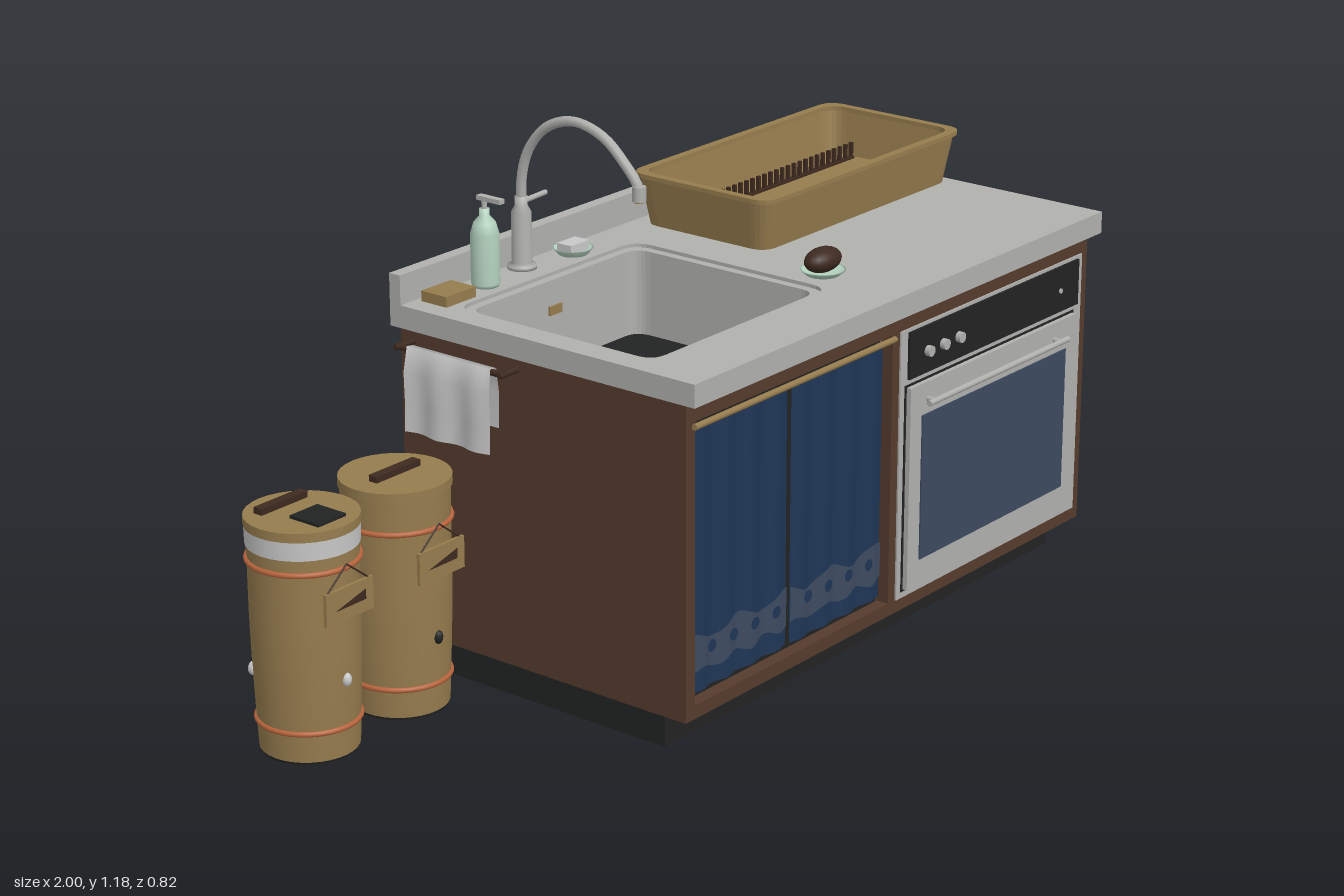
import * as THREE from 'three';

const paint = (name, color) => {
  const m = new THREE.MeshStandardMaterial({ color });
  m.name = name;
  return m;
};

export function createModel() {
  const steel = paint('steel grey', 0xb0b0ad);
  const wood = paint('walnut brown', 0x553b2d);
  const black = paint('black', 0x222323);
  const blue = paint('curtain blue', 0x1f3656);
  const slate = paint('slate glass', 0x3d4a60);
  const brass = paint('tan', 0x967c4e);
  const orange = paint('copper orange', 0xb8643c);
  const mint = paint('mint', 0xb4d2bf);
  const white = paint('towel white', 0xc8c8c8);
  const dark = paint('dark brown', 0x3e2a20);
  blue.side = slate.side = white.side = THREE.DoubleSide;

  const root = new THREE.Group();
  root.name = 'kitchenIsland';
  const add = (name, geo, mat, x = 0, y = 0, z = 0, parent = root) => {
    const m = new THREE.Mesh(geo, mat);
    m.name = name;
    m.position.set(x, y, z);
    parent.add(m);
    return m;
  };
  // Box given by its limits
  const box = (name, mat, x0, x1, y0, y1, z0, z1, parent = root) =>
    add(name, new THREE.BoxGeometry(x1 - x0, y1 - y0, z1 - z0), mat, (x0 + x1) / 2, (y0 + y1) / 2, (z0 + z1) / 2, parent);
  // Cylinder between two points
  const rod = (name, mat, a, b, r, parent = root, sides = 10) => {
    const p = new THREE.Vector3(...a), d = new THREE.Vector3(...b).sub(p);
    const m = add(name, new THREE.CylinderGeometry(r, r, d.length(), sides), mat, 0, 0, 0, parent);
    m.position.copy(p).addScaledVector(d, 0.5);
    m.quaternion.setFromUnitVectors(new THREE.Vector3(0, 1, 0), d.normalize());
    return m;
  };
  const lathe = (name, mat, pts, x, y, z, parent = root, sides = 24) =>
    add(name, new THREE.LatheGeometry(pts.map(p => new THREE.Vector2(...p)), sides), mat, x, y, z, parent);
  // Rounded rectangle outline
  const rect = (x0, x1, y0, y1, r = 0, Kind = THREE.Shape) => {
    const s = new Kind();
    if (!r) return s.moveTo(x0, y0).lineTo(x1, y0).lineTo(x1, y1).lineTo(x0, y1).closePath(), s;
    s.moveTo(x0 + r, y0).lineTo(x1 - r, y0).quadraticCurveTo(x1, y0, x1, y0 + r);
    s.lineTo(x1, y1 - r).quadraticCurveTo(x1, y1, x1 - r, y1);
    s.lineTo(x0 + r, y1).quadraticCurveTo(x0, y1, x0, y1 - r);
    s.lineTo(x0, y0 + r).quadraticCurveTo(x0, y0, x0 + r, y0);
    return s;
  };
  const panel = (outer, holes, depth) => {
    outer.holes.push(...holes);
    return new THREE.ExtrudeGeometry(outer, { depth, bevelEnabled: false, curveSegments: 6 });
  };
  // Horizontal slab; outlines use (x, -z)
  const slab = (outer, holes, depth) => panel(outer, holes, depth).rotateX(-Math.PI / 2);

  // Cabinet carcass, hollow around the sink
  box('plinth', black, -0.44, 0.97, 0, 0.08, -0.375, 0.30);
  box('cabinetFloor', wood, -0.46, 0.99, 0.08, 0.1, -0.39, 0.365);
  box('cabinetBack', wood, -0.46, 0.99, 0.08, 0.77, -0.39, -0.36);
  box('leftWall', wood, -0.46, -0.43, 0.08, 0.77, -0.36, 0.34);
  const side = panel(rect(-0.345, 0.365, 0.08, 0.77), [rect(-0.35 + 0.005, 0.04, 0.13, 0.595, 0, THREE.Path)], 0.03);
  side.dispose();
  const sideWall = panel(rect(-0.37, 0.36, 0.08, 0.77), [rect(-0.35, 0.04, 0.13, 0.595, 0, THREE.Path)], 0.03);
  add('sideWallWithOpening', sideWall.rotateY(Math.PI / 2), wood, 0.96);
  add('frontFrame', panel(rect(-0.46, 0.96, 0.08, 0.77),
    [rect(-0.43, 0.24, 0.11, 0.725, 0, THREE.Path), rect(0.27, 0.94, 0.115, 0.715, 0, THREE.Path)], 0.03), wood, 0, 0, 0.34);
  box('cupboardInterior', black, -0.43, 0.24, 0.1, 0.74, 0.32, 0.338);

  // Countertop, splashback and sink
  const sinkOuter = K => rect(-0.41, 0.175, -0.25, 0.28, 0.05, K);
  add('countertop', slab(rect(-0.47, 1, -0.4, 0.41), [sinkOuter(THREE.Path)], 0.05), steel, 0, 0.77);
  box('splashback', steel, -0.47, 1, 0.82, 0.885, -0.41, -0.38);
  add('sinkWalls', slab(sinkOuter(THREE.Shape), [rect(-0.39, 0.155, -0.23, 0.26, 0.04, THREE.Path)], 0.195), steel, 0, 0.617);
  add('sinkFloor', slab(sinkOuter(THREE.Shape), [], 0.01), black, 0, 0.61);
  box('overflow', brass, -0.14, -0.1, 0.735, 0.755, -0.262, -0.255);

  // Curtains with a scalloped border
  const fold = x => 0.004 * Math.sin(x * 75);
  const cloth = (x0, x1, low, high, z) => {
    const g = new THREE.PlaneGeometry(x1 - x0, 1, 48, 1).translate((x0 + x1) / 2, 0.5, 0);
    const p = g.attributes.position;
    for (let i = 0; i < p.count; i++) {
      const x = p.getX(i);
      p.setXYZ(i, x, p.getY(i) > 0.5 ? high(x) : low(x), z + fold(x));
    }
    g.computeVertexNormals();
    return g;
  };
  for (const [x0, x1] of [[-0.42, -0.108], [-0.095, 0.225]]) {
    add('curtain', cloth(x0, x1, () => 0.13, () => 0.712, 0.358), blue);
    add('curtainBorder', cloth(x0, x1, x => 0.175 + 0.007 * Math.sin(x * 60), x => 0.25 + 0.012 * Math.sin(x * 40), 0.361), slate);
    for (let i = 0; i < 4; i++) {
      const x = x0 + 0.05 + i * 0.072;
      add('curtainDot', new THREE.CircleGeometry(0.014, 10), blue, x, 0.222, 0.367);
    }
  }
  rod('curtainRod', brass, [-0.44, 0.717, 0.376], [0.24, 0.717, 0.376], 0.007);

  // Oven
  const oven = new THREE.Group();
  oven.name = 'oven';
  root.add(oven);
  box('ovenBody', steel, 0.275, 0.94, 0.12, 0.71, -0.08, 0.365, oven);
  box('ovenTrim', steel, 0.265, 0.965, 0.11, 0.725, 0.365, 0.374, oven);
  box('controlPanel', black, 0.29, 0.945, 0.612, 0.718, 0.374, 0.38, oven);
  box('doorGap', black, 0.28, 0.935, 0.125, 0.6, 0.374, 0.376, oven);
  box('ovenDoor', steel, 0.286, 0.928, 0.13, 0.595, 0.376, 0.387, oven);
  box('ovenWindow', slate, 0.328, 0.886, 0.19, 0.523, 0.387, 0.39, oven);
  rod('ovenHandle', steel, [0.325, 0.556, 0.408], [0.865, 0.556, 0.408], 0.007, oven);
  for (const x of [0.35, 0.84]) rod('handlePost', steel, [x, 0.556, 0.38], [x, 0.556, 0.408], 0.006, oven);
  for (const x of [0.355, 0.412, 0.47]) rod('knob', steel, [x, 0.662, 0.378], [x, 0.662, 0.392], 0.012, oven, 16);
  rod('indicator', steel, [0.87, 0.662, 0.378], [0.87, 0.662, 0.383], 0.006, oven);

  // Tap with a swan neck
  lathe('tapBody', steel, [[0, 0], [0.032, 0], [0.032, 0.008], [0.022, 0.014], [0.022, 0.125], [0.014, 0.14], [0.014, 0.16], [0, 0.16]], -0.12, 0.82, -0.35);
  const neck = new THREE.CatmullRomCurve3([[0.96, -0.35], [1.03, -0.346], [1.09, -0.325], [1.145, -0.275], [1.17, -0.2],
    [1.15, -0.12], [1.1, -0.06], [1.065, -0.03], [1.045, -0.025]].map(([y, z]) => new THREE.Vector3(-0.12, y, z)));
  add('tapNeck', new THREE.TubeGeometry(neck, 28, 0.011, 8), steel);
  rod('tapNozzle', steel, [-0.12, 1.03, -0.025], [-0.12, 1.062, -0.025], 0.015);
  rod('nozzleOutlet', brass, [-0.12, 1.027, -0.025], [-0.12, 1.031, -0.025], 0.011);
  rod('tapLever', steel, [-0.11, 0.967, -0.35], [-0.04, 0.97, -0.35], 0.006);

  // Soap bottle, sponge, soap dish, scrubbing brush
  lathe('soapBottle', mint, [[0, 0], [0.028, 0], [0.031, 0.008], [0.031, 0.115], [0.024, 0.14], [0.011, 0.155], [0.011, 0.17], [0, 0.17]], -0.26, 0.82, -0.33);
  rod('pumpStem', steel, [-0.26, 0.98, -0.33], [-0.26, 1.015, -0.33], 0.006);
  box('pumpSpout', steel, -0.268, -0.252, 1.008, 1.018, -0.345, -0.28);
  box('sponge', brass, -0.422, -0.33, 0.82, 0.843, -0.365, -0.295);
  const dish = [[0, 0], [0.036, 0], [0.05, 0.012], [0.046, 0.012], [0.034, 0.005], [0, 0.005]];
  lathe('soapDish', mint, dish, 0.025, 0.82, -0.33).scale.set(0.9, 1.2, 0.9);
  box('soapBar', white, -0.005, 0.055, 0.826, 0.847, -0.35, -0.31);
  lathe('brushDish', mint, dish, 0.245, 0.82, 0.18);
  add('scrubBrush', new THREE.SphereGeometry(0.03, 20, 14), dark, 0.245, 0.853, 0.18).scale.set(1.75, 0.9, 1.07);

  // Tapered dish rack
  const rack = new THREE.Group();
  rack.name = 'dishRack';
  rack.position.set(0.613, 0.83, -0.16);
  root.add(rack);
  const flare = g => {
    const p = g.attributes.position;
    for (let i = 0; i < p.count; i++) {
      const k = Math.min(p.getY(i) / 0.11, 1) - 1;
      p.setX(i, p.getX(i) * (1 + 0.05 * k));
      p.setZ(i, p.getZ(i) * (1 + 0.09 * k));
    }
    g.computeVertexNormals();
    return g;
  };
  const tray = (inset, K) => rect(-0.365 + inset, 0.365 - inset, -0.185 + inset, 0.185 - inset, 0.045, K);
  add('rackWalls', flare(slab(tray(0), [tray(0.012, THREE.Path)], 0.112)), brass, 0, 0, 0, rack);
  add('rackRim', slab(tray(-0.006), [tray(0.014, THREE.Path)], 0.01), brass, 0, 0.111, 0, rack);
  add('rackFloor', flare(slab(tray(0.002), [], 0.012)), brass, 0, 0, 0, rack);
  for (const z of [-0.09, 0.078]) {
    box('pegRail', dark, -0.325, 0.325, 0.012, 0.017, z - 0.007, z + 0.007, rack);
    for (let i = 0; i < 30; i++) {
      const x = -0.32 + i * 0.64 / 29;
      box('peg', dark, x - 0.004, x + 0.004, 0.012, 0.05, z - 0.004, z + 0.004, rack);
    }
  }
  for (const x of [-0.3, 0.3]) for (const z of [-0.13, 0.13]) box('rackFoot', brass, x - 0.01, x + 0.01, -0.01, 0, z - 0.01, z + 0.01, rack);

  // Towel on a side rail
  rod('towelRail', dark, [-0.505, 0.745, -0.36], [-0.505, 0.745, -0.065], 0.007);
  for (const z of [-0.355, -0.07]) rod('railBracket', dark, [-0.515, 0.745, z], [-0.455, 0.745, z], 0.007);
  const drape = [[-0.49, 0.62], [-0.488, 0.7], [-0.495, 0.752], [-0.513, 0.754], [-0.522, 0.7], [-0.52, 0.63], [-0.522, 0.57]];
  const towel = new THREE.PlaneGeometry(0.23, 1, 20, drape.length - 1);
  const tp = towel.attributes.position;
  for (let i = 0; i < tp.count; i++) {
    const row = Math.floor(i / 21), z = tp.getX(i);
    tp.setXYZ(i, drape[row][0] + (row > 3 ? 0.005 * Math.sin(z * 60) : 0), drape[row][1], z - 0.21);
  }
  towel.computeVertexNormals();
  add('towel', towel, white);

  // Pair of storage canisters
  const canister = (x, first) => {
    const g = new THREE.Group();
    g.name = first ? 'outerCanister' : 'innerCanister';
    g.position.set(x, 0, -0.28);
    root.add(g);
    lathe('body', brass, [[0.104, 0.006], [0.107, 0.07], [0.112, 0.2], [0.114, 0.3], [0.114, 0.42], [0.116, 0.5]], 0, 0, 0, g, 32);
    add('base', new THREE.CylinderGeometry(0.104, 0.102, 0.008, 32), black, 0, 0.004, 0, g);
    add('lid', new THREE.CylinderGeometry(0.119, 0.119, 0.02, 32), brass, 0, 0.502, 0, g);
    for (const [y, r] of [[0.07, 0.107], [0.42, 0.115]])
      add('hoop', new THREE.TorusGeometry(r, 0.006, 8, 32).rotateX(Math.PI / 2), orange, 0, y, 0, g);
    if (first) {
      add('paleBand', new THREE.CylinderGeometry(0.118, 0.117, 0.04, 32), white, 0, 0.472, 0, g);
      box('lidPatch', black, -0.04, 0.04, 0.512, 0.518, 0.005, 0.085, g);
    }
    const hz = first ? -0.058 : 0;
    box('lidHandle', dark, -0.066, 0.066, 0.512, 0.526, hz - 0.011, hz + 0.011, g);
    // Hanging tag on two cords
    box('tag', brass, -0.068, 0.068, 0.315, 0.385, 0.119, 0.127, g);
    for (const s of [-1, 1]) rod('cord', dark, [s * 0.06, 0.383, 0.122], [0, 0.43, 0.12], 0.002, g, 6);
    const wedge = new THREE.Shape([[-0.045, 0.342], [0.045, 0.342], [0.045, 0.365]].map(p => new THREE.Vector2(...p)));
    add('tagWedge', new THREE.ShapeGeometry(wedge), dark, 0, 0, 0.1285, g);
    // Small studs around the body
    for (const [a, mat] of [[0, first ? white : black], [Math.PI * 1.25, white], [Math.PI * 1.15, black]]) {
      const stud = add('stud', new THREE.SphereGeometry(0.011, 10, 8), mat, Math.sin(a) * 0.11, 0.175, Math.cos(a) * 0.11, g);
      stud.scale.y = 1.4;
    }
  };
  canister(-0.881, true);
  canister(-0.607, false);

  return root;
}
